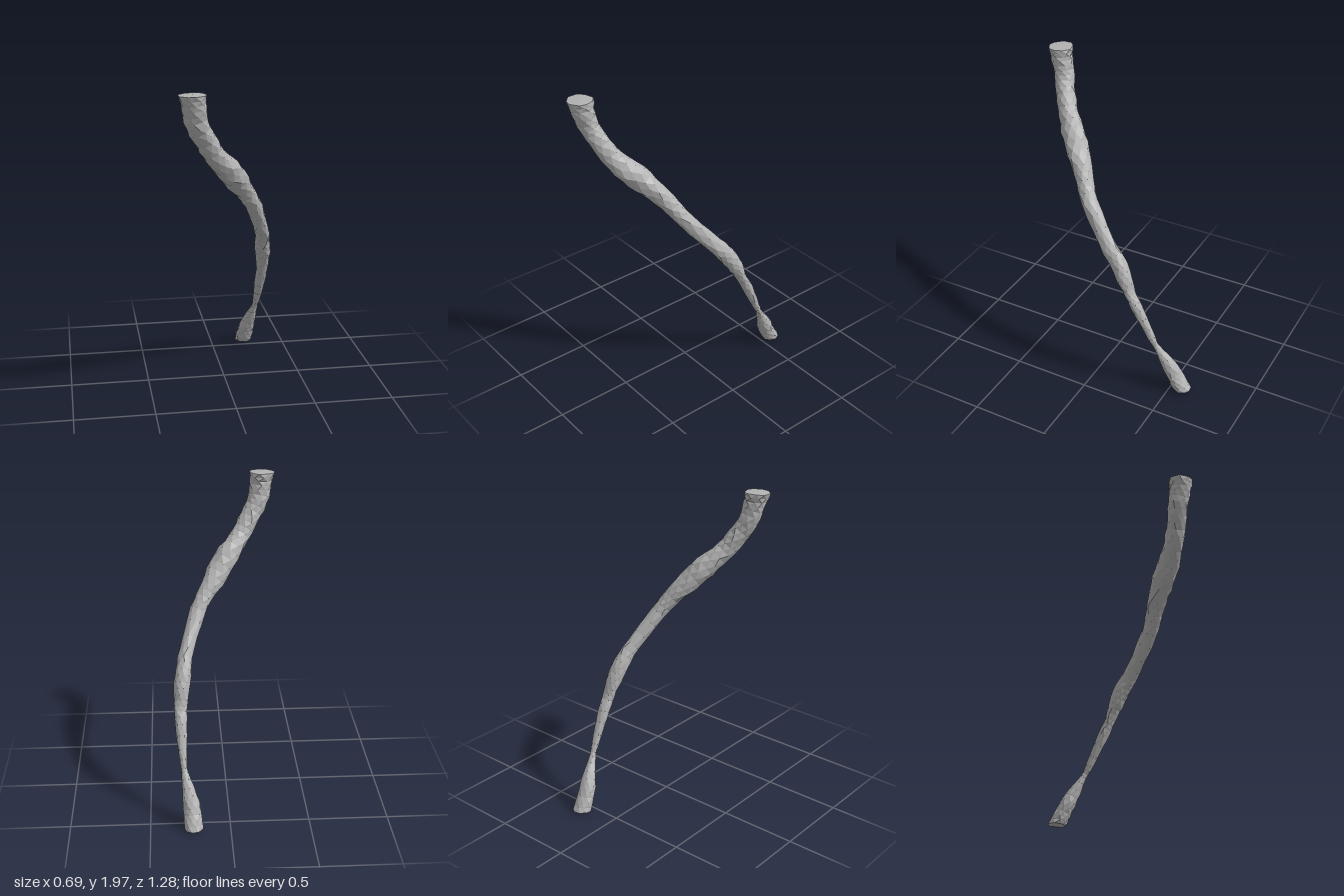
import * as THREE from 'three';

const SIDES = 9;
const STEPS = 3; // rings between two stations

// stations down the branch: centre x, y, z, half width across, half depth
const STATIONS = [
  [-0.265, 1.98, 0.563, 0.080, 0.075],
  [-0.255, 1.90, 0.550, 0.071, 0.066],
  [-0.235, 1.80, 0.525, 0.066, 0.060],
  [-0.180, 1.70, 0.486, 0.063, 0.059],
  [-0.120, 1.60, 0.432, 0.062, 0.064],
  [-0.035, 1.50, 0.345, 0.072, 0.074],
  [0.042, 1.40, 0.260, 0.073, 0.062],
  [0.110, 1.30, 0.188, 0.055, 0.053],
  [0.170, 1.20, 0.125, 0.051, 0.051],
  [0.250, 1.00, -0.038, 0.045, 0.051],
  [0.272, 0.90, -0.122, 0.050, 0.054],
  [0.288, 0.80, -0.183, 0.052, 0.047],
  [0.295, 0.70, -0.228, 0.041, 0.030],
  [0.296, 0.60, -0.280, 0.039, 0.034],
  [0.287, 0.40, -0.378, 0.024, 0.024],
  [0.279, 0.33, -0.414, 0.021, 0.019],
  [0.252, 0.20, -0.485, 0.047, 0.046],
  [0.235, 0.10, -0.534, 0.055, 0.050],
  [0.230, 0.022, -0.577, 0.058, 0.056],
];

function makeRandom(seed) {
  return () => {
    seed = (seed * 16807) % 2147483647;
    return seed / 2147483647;
  };
}

// closed tube of irregular rings, with a flat cap at both ends
function branchGeometry() {
  const random = makeRandom(77);
  const curve = (pick) => new THREE.CatmullRomCurve3(STATIONS.map(pick), false, 'catmullrom', 0.5);
  const path = curve((s) => new THREE.Vector3(s[0], s[1], s[2]));
  const sizes = curve((s) => new THREE.Vector3(s[3], s[4], 0));
  const rings = (STATIONS.length - 1) * STEPS;
  const down = new THREE.Vector3(0, -1, 0);
  const positions = [];
  const index = [];

  for (let i = 0; i <= rings; i++) {
    const t = i / rings;
    const centre = path.getPoint(t);
    const size = sizes.getPoint(t);
    const tangent = path.getTangent(t);
    // the sawn ends lie almost level
    const level = Math.max(0, 1 - Math.min(i, rings - i) / 4);
    tangent.lerp(down, level * 0.85).normalize();
    const depth = new THREE.Vector3().crossVectors(new THREE.Vector3(1, 0, 0), tangent).normalize();
    const across = new THREE.Vector3().crossVectors(tangent, depth);
    for (let j = 0; j < SIDES; j++) {
      const a = ((j + (i % 2) * 0.5 + (random() - 0.5) * 0.3) / SIDES) * Math.PI * 2;
      const r = 1.03 + (random() - 0.5) * 0.13;
      const p = centre.clone()
        .addScaledVector(across, Math.cos(a) * size.x * r)
        .addScaledVector(depth, Math.sin(a) * size.y * r);
      p.y = THREE.MathUtils.clamp(p.y, 0, 2);
      positions.push(p.x, p.y, p.z);
    }
  }

  for (let i = 0; i < rings; i++) {
    for (let j = 0; j < SIDES; j++) {
      const k = (j + 1) % SIDES;
      const a = i * SIDES + j, b = i * SIDES + k;
      const c = a + SIDES, d = b + SIDES;
      if (i % 2) index.push(a, b, d, a, d, c);
      else index.push(a, b, c, b, d, c);
    }
  }

  // end caps
  const last = rings * SIDES;
  const top = positions.length / 3;
  positions.push(-0.265, 1.985, 0.563, 0.23, 0.012, -0.577);
  for (let j = 0; j < SIDES; j++) {
    const k = (j + 1) % SIDES;
    index.push(top, k, j, top + 1, last + j, last + k);
  }

  const indexed = new THREE.BufferGeometry();
  indexed.setAttribute('position', new THREE.Float32BufferAttribute(positions, 3));
  indexed.setIndex(index);
  const geometry = indexed.toNonIndexed(); // separate faces give faceted bark
  geometry.computeVertexNormals();
  return geometry;
}

export function createModel() {
  const group = new THREE.Group();
  group.name = 'branch';
  const bark = new THREE.MeshStandardMaterial({ color: 0xb2b2b2, side: THREE.DoubleSide });
  bark.name = 'grey bark';
  const stem = new THREE.Mesh(branchGeometry(), bark);
  stem.name = 'stem';
  group.add(stem);
  return group;
}
